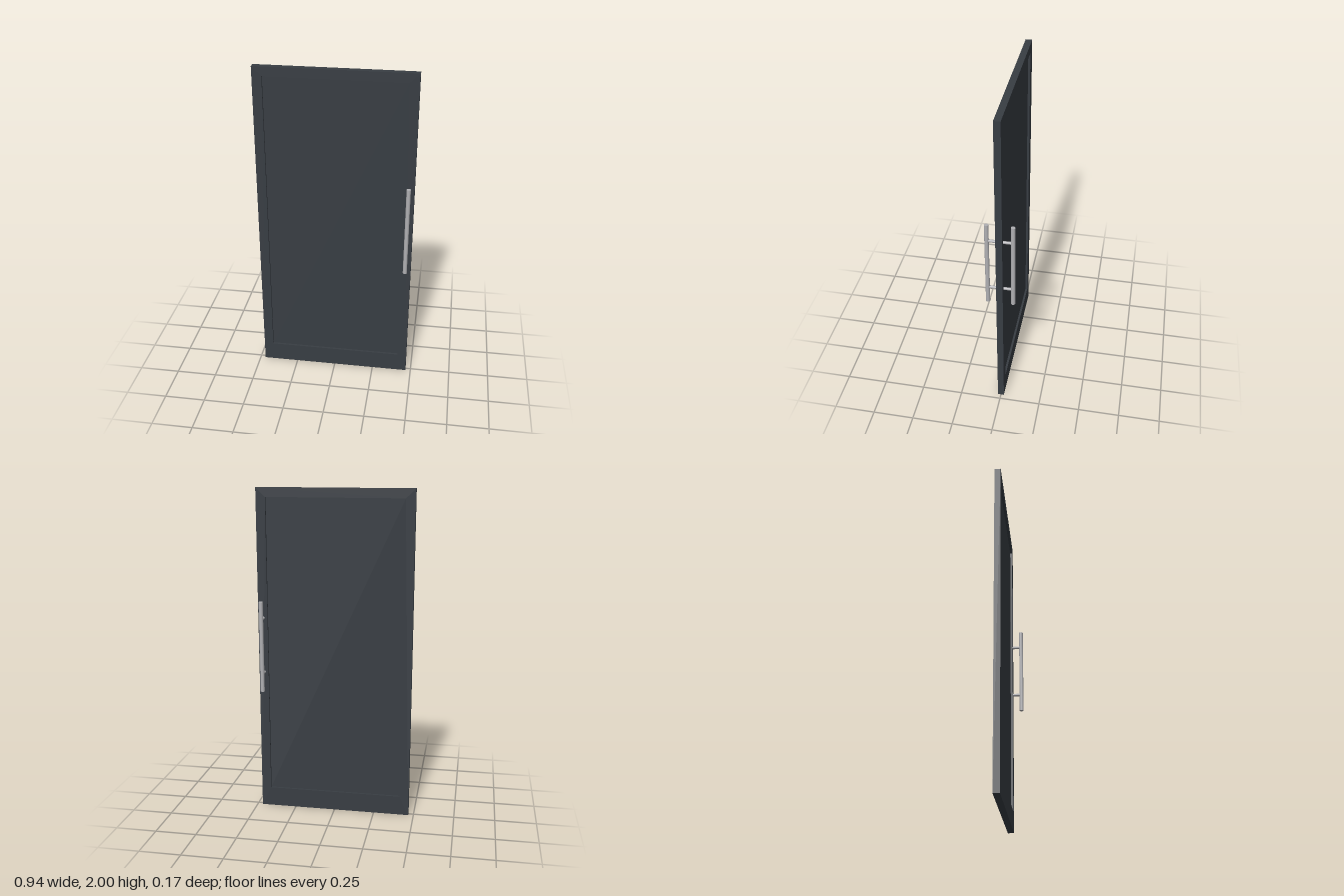
import * as THREE from 'three';

const W = 0.468, H = 2, T = 0.038;              // half width, height, thickness
const IN_X = 0.411, IN_BOTTOM = 0.12, IN_TOP = 1.945;

export function createModel() {
  const paint = new THREE.MeshStandardMaterial({ name: 'anthracite paint', color: 0x383d43 });
  const steel = new THREE.MeshStandardMaterial({ name: 'brushed steel', color: 0xb0b0b3 });
  const model = new THREE.Group();
  model.name = 'door';

  const add = (parent, name, geometry, material, x = 0, y = 0, z = 0) => {
    const mesh = new THREE.Mesh(geometry, material);
    mesh.name = name;
    mesh.position.set(x, y, z);
    parent.add(mesh);
    return mesh;
  };

  // Frame: one slab with a rectangular opening, taller at the bottom rail
  const outline = new THREE.Shape([
    new THREE.Vector2(-W, 0), new THREE.Vector2(W, 0),
    new THREE.Vector2(W, H), new THREE.Vector2(-W, H),
  ]);
  outline.holes.push(new THREE.Path([
    new THREE.Vector2(-IN_X, IN_BOTTOM), new THREE.Vector2(-IN_X, IN_TOP),
    new THREE.Vector2(IN_X, IN_TOP), new THREE.Vector2(IN_X, IN_BOTTOM),
  ]));
  const frame = new THREE.ExtrudeGeometry(outline, { depth: T, bevelEnabled: false });
  frame.translate(0, 0, -T / 2);
  add(model, 'frame', frame, paint);

  // Panel recessed equally on both sides
  add(model, 'panel', new THREE.BoxGeometry(IN_X * 2, IN_TOP - IN_BOTTOM, 0.012), paint,
    0, (IN_TOP + IN_BOTTOM) / 2, 0);

  // Pull handles: a round bar on two posts, front and back
  const barZ = 0.074;
  const postLength = barZ - T / 2;
  for (const [name, side] of [['frontHandle', 1], ['backHandle', -1]]) {
    const handle = new THREE.Group();
    handle.name = name;
    add(handle, 'bar', new THREE.CylinderGeometry(0.0125, 0.0125, 0.556, 24), steel,
      0.436, 1.055, side * barZ);
    for (const y of [0.886, 1.224]) {
      const post = add(handle, 'post', new THREE.CylinderGeometry(0.0085, 0.0085, postLength, 16), steel,
        0.436, y, side * (T / 2 + postLength / 2));
      post.rotation.x = Math.PI / 2;
    }
    model.add(handle);
  }
  return model;
}
